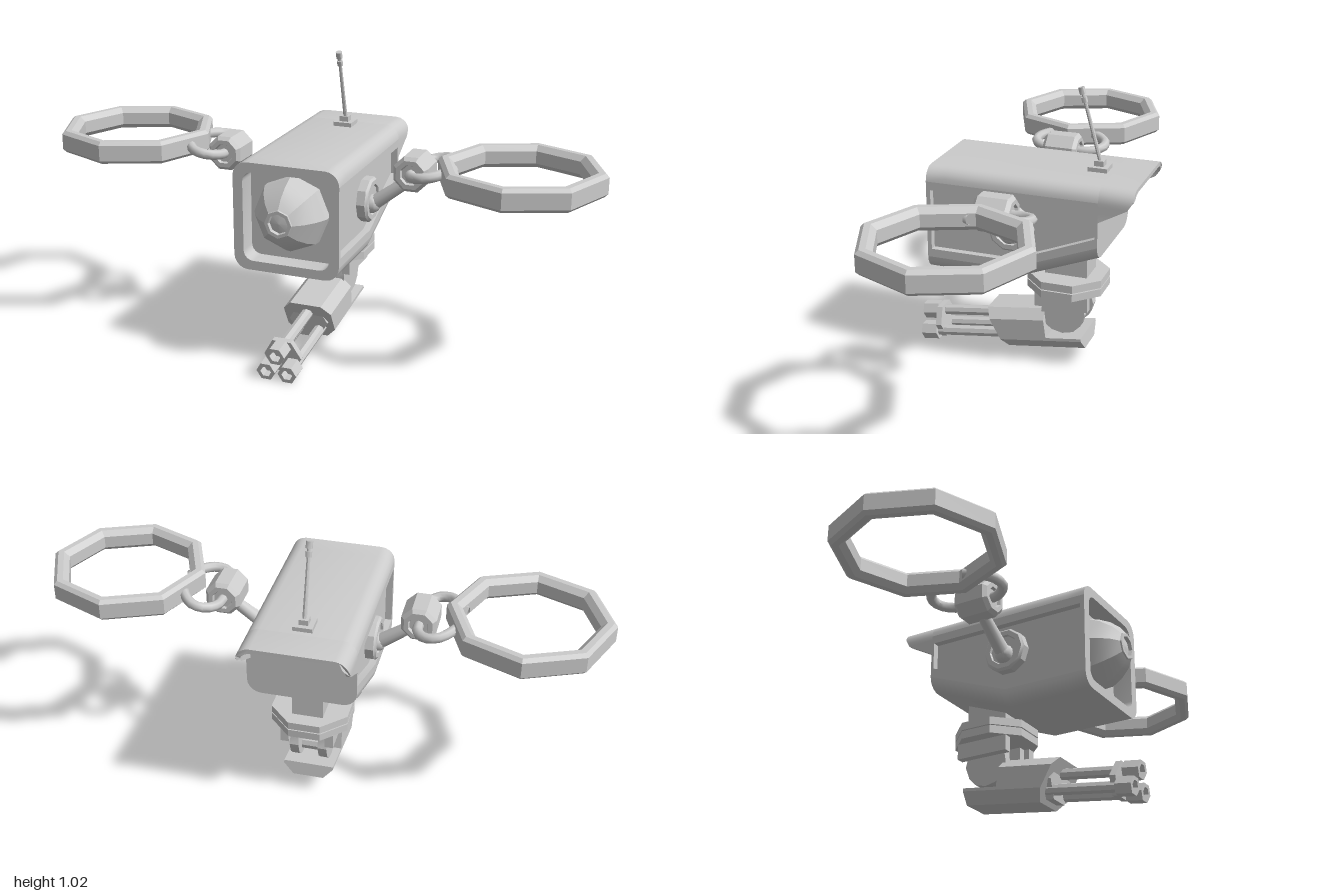
import * as THREE from 'three';
import { toCreasedNormals } from 'three/addons/utils/BufferGeometryUtils.js';

const material = new THREE.MeshStandardMaterial({ color: 0xcccccc, side: THREE.DoubleSide });
const V = (x, y, z) => new THREE.Vector3(x, y, z);
const V2 = (x, y) => new THREE.Vector2(x, y);

function add(parent, name, geometry, x = 0, y = 0, z = 0, crease = 0.5) {
  const mesh = new THREE.Mesh(toCreasedNormals(geometry, crease), material);
  mesh.name = name;
  mesh.position.set(x, y, z);
  parent.add(mesh);
  return mesh;
}

const box = (w, h, d) => new THREE.BoxGeometry(w, h, d);
const lathe = (pts, sides, phase = 0) =>
  new THREE.LatheGeometry(pts.map(p => V2(...p)), sides, phase);
// cylinder whose axis runs along z
const rod = (r, length, sides, phase = 0) =>
  new THREE.CylinderGeometry(r, r, length, sides, 1, false, phase).rotateX(Math.PI / 2);

// cylinder between two points
function strut(parent, name, a, b, r1, r2, sides) {
  const d = b.clone().sub(a);
  const mesh = add(parent, name, new THREE.CylinderGeometry(r2, r1, d.length(), sides), 0, 0, 0, 0.9);
  mesh.position.copy(a).addScaledVector(d, 0.5);
  mesh.quaternion.setFromUnitVectors(V(0, 1, 0), d.normalize());
}

// skin over matching closed sections (counter-clockwise, ordered from +z to -z)
function loft(sections) {
  const n = sections[0].length, index = [];
  for (let s = 0; s < sections.length - 1; s++)
    for (let j = 0; j < n; j++) {
      const k = (j + 1) % n, a = s * n + j, b = s * n + k;
      index.push(a, a + n, b, b, a + n, b + n);
    }
  const last = (sections.length - 1) * n;
  for (const [a, b, c] of THREE.ShapeUtils.triangulateShape(sections[0].map(p => V2(p.x, p.y)), []))
    index.push(a, b, c, last + c, last + b, last + a);
  const g = new THREE.BufferGeometry().setFromPoints(sections.flat());
  g.setIndex(index);
  return g;
}

// shape drawn in (z, y), extruded along x
function sidePlate(outline, thickness, hole) {
  const pts = list => list.map(([z, y]) => V2(-z, y));
  const shape = new THREE.Shape(pts(outline));
  if (hole) shape.holes.push(new THREE.Path(pts(hole)));
  return new THREE.ExtrudeGeometry(shape, { depth: thickness, bevelEnabled: false }).rotateY(Math.PI / 2);
}

const arc = (cx, cy, r, start) => Array.from({ length: 6 }, (_, i) => {
  const a = start + i * Math.PI / 10;
  return V2(cx + r * Math.cos(a), cy + r * Math.sin(a));
});
const roundRect = (w, y0, y1, r) => [
  ...arc(w - r, y1 - r, r, 0), ...arc(r - w, y1 - r, r, Math.PI / 2),
  ...arc(r - w, y0 + r, r, Math.PI), ...arc(w - r, y0 + r, r, Math.PI * 1.5)];

// housing section with a shallow channel along each side
const W = 0.19, IN = 0.165, TOP = 0.74, R = 0.05;
function housingSection(bottom) {
  const p = roundRect(W, bottom, TOP, R), lo = bottom + R, hi = TOP - R;
  return [...p.slice(0, 12), V2(-IN, hi), V2(-IN, lo), ...p.slice(12), V2(IN, lo), V2(IN, hi)];
}

function buildHousing(root) {
  const g = new THREE.Group();
  g.name = 'housing';
  root.add(g);
  add(g, 'housingCore', loft([[0.25, 0.36], [0.01, 0.36], [-0.3, 0.48]].map(
    ([z, b]) => housingSection(b).map(p => V(p.x, p.y, z)))));

  // open front rim
  const rim = new THREE.Shape(housingSection(0.36));
  rim.holes.push(new THREE.Path(roundRect(0.155, 0.393, 0.707, 0.035)));
  add(g, 'frontRim', new THREE.ExtrudeGeometry(rim, { depth: 0.07, bevelEnabled: false }), 0, 0, 0.25);

  // side frames around the sunken panels
  const outline = [[0.32, 0.41], [0.01, 0.41], [-0.3, 0.53], [-0.3, 0.69], [0.32, 0.69]];
  const panel = [[0.305, 0.44], [0.01, 0.44], [-0.29, 0.56], [-0.29, 0.66], [0.305, 0.66]];
  for (const x of [IN, -W]) add(g, 'sideFrame', sidePlate(outline, W - IN, panel), x);

  // rear hood: thin arch whose edge sweeps back as it rises
  const half = [V2(W, 0.62), V2(W, 0.655), V2(W, 0.675), ...arc(W - R, TOP - R, R, 0)];
  const outer = [...half, ...half.map(p => V2(-p.x, p.y)).reverse()];
  const reach = y => y < 0.675 ? -0.3 - (y - 0.62) * 1.82 : Math.max(-0.42, -0.4 - (y - 0.675) * 0.57);
  const inner = outer.map(p => V2(p.x * 0.92, p.y > 0.69 ? 0.69 + (p.y - 0.69) * 0.7 : p.y));
  const ring = end => [...outer.map(p => V(p.x, p.y, end ? reach(p.y) : -0.299)),
    ...inner.map((p, i) => V(p.x, p.y, end ? reach(outer[i].y) : -0.299)).reverse()];
  add(g, 'rearHood', loft([ring(false), ring(true)]));

  // faceted eye dome with lens
  const dome = [[0.132, 0], [0.13, 0.03], [0.11, 0.07], [0.08, 0.108], [0.05, 0.13], [0.048, 0.135],
    [0.036, 0.135], [0.034, 0.122], [0, 0.128]];
  add(g, 'eyeDome', lathe(dome, 8).rotateX(Math.PI / 2), 0, 0.56, 0.25, 0.3);

  // antenna
  add(g, 'antennaBase', box(0.068, 0.016, 0.068), 0, 0.747, -0.248);
  add(g, 'antennaSocket', box(0.032, 0.022, 0.034), 0, 0.763, -0.248);
  strut(g, 'antennaRod', V(0, 0.765, -0.25), V(0, 1.02, -0.178), 0.008, 0.006, 8);
  strut(g, 'antennaCollar', V(0, 0.972, -0.191), V(0, 0.99, -0.186), 0.011, 0.011, 8);
  strut(g, 'antennaTip', V(0, 1.0, -0.183), V(0, 1.023, -0.176), 0.012, 0.012, 8);
}

function buildRotor(root, side) {
  const g = new THREE.Group();
  g.name = side > 0 ? 'leftRotor' : 'rightRotor';
  root.add(g);
  const X = x => side * x;
  // shoulder mount and arm
  const mount = lathe([[0, 0], [0.08, 0], [0.08, 0.03], [0.072, 0.038], [0.055, 0.038], [0.052, 0.03],
    [0, 0.03]], 10).rotateZ(-side * Math.PI / 2);
  add(g, 'shoulderMount', mount, X(0.165), 0.555, 0.01);
  add(g, 'shoulderJoint', new THREE.SphereGeometry(0.034, 12, 8), X(0.195), 0.54, 0.01);
  strut(g, 'arm', V(X(0.19), 0.533, 0.01), V(X(0.325), 0.635, 0.003), 0.027, 0.021, 10);

  // eight-sided elbow hub
  const hub = lathe([[0, -0.055], [0.033, -0.055], [0.037, -0.065], [0.053, -0.065], [0.066, -0.052],
    [0.066, 0.052], [0.053, 0.065], [0.037, 0.065], [0.033, 0.055], [0, 0.055]], 8, Math.PI / 8);
  add(g, 'elbowHub', hub.rotateX(Math.PI / 2), X(0.347), 0.675, 0, 0.3);

  // curved fork holding the duct
  for (const s of [1, -1]) {
    const path = [[0.347, 0.675, 0.04], [0.352, 0.677, 0.09], [0.385, 0.685, 0.13], [0.43, 0.692, 0.128],
      [0.468, 0.699, 0.09], [0.492, 0.702, 0.04]];
    const curve = new THREE.CatmullRomCurve3(path.map(([x, y, z]) => V(X(x), y, s * z - 0.01)));
    add(g, 'fork', new THREE.TubeGeometry(curve, 12, 0.018, 8), 0, 0, 0, 0.9);
  }

  // octagonal duct ring
  const duct = [[0.272, -0.04], [0.285, -0.028], [0.285, 0.028], [0.272, 0.04], [0.25, 0.04],
    [0.23, 0.022], [0.23, -0.022], [0.25, -0.04], [0.272, -0.04]];
  add(g, 'ductRing', lathe(duct, 8), X(0.715), 0.7, 0.012, 0.3);
}

function buildGun(root) {
  const turret = new THREE.Group();
  turret.name = 'turret';
  root.add(turret);
  // neck and turntable
  add(turret, 'neck', box(0.11, 0.14, 0.155), 0, 0.4, -0.147);
  const disc = (r, h) => new THREE.CylinderGeometry(r, r, h, 8, 1, false, Math.PI / 8);
  add(turret, 'turntableTop', disc(0.148, 0.028), 0, 0.336, -0.14);
  add(turret, 'turntableGroove', disc(0.14, 0.01), 0, 0.32, -0.14);
  add(turret, 'turntableBottom', disc(0.148, 0.028), 0, 0.304, -0.14);

  // yoke arms with rounded feet
  const arm = [[-0.065, 0.295], [-0.065, 0.235], [-0.06, 0.205], [-0.07, 0.16], [-0.1, 0.137], [-0.14, 0.128],
    [-0.18, 0.138], [-0.207, 0.165], [-0.223, 0.21], [-0.216, 0.235], [-0.216, 0.295]];
  for (const s of [1, -1]) {
    add(turret, 'yokeArm', sidePlate(arm, 0.032), s > 0 ? 0.035 : -0.067);
    add(turret, 'yokePad', box(0.03, 0.056, 0.195), s * 0.08, 0.263, -0.142);
  }
  add(turret, 'pivotPin', new THREE.CylinderGeometry(0.03, 0.03, 0.08, 10).rotateZ(Math.PI / 2), 0, 0.175, -0.145);

  // gun tipped slightly downwards
  const gun = new THREE.Group();
  gun.name = 'gun';
  gun.position.set(0, 0.13, -0.14);
  gun.rotation.x = 0.136;
  turret.add(gun);
  const half = [V2(0.055, -0.065), V2(0.09, -0.025), V2(0.09, 0.055), V2(0.058, 0.089)];
  const section = [...half, ...half.map(p => V2(-p.x, p.y)).reverse()];
  // the nose is raked so the roof overhangs the barrels
  add(gun, 'gunCasing', loft([section.map(p => V(p.x, p.y, 0.245 + p.y * 0.39)),
    section.map(p => V(p.x, p.y, 0.058))]), 0, 0, 0, 0.2);
  const low = [V2(0.055, -0.065), V2(0.09, -0.025), V2(0.09, -0.014)];
  const tray = [...low, ...low.map(p => V2(-p.x, p.y)).reverse()];
  add(gun, 'gunTray', loft([0.06, -0.075].map(z => tray.map(p => V(p.x, p.y, z)))), 0, 0, 0, 0.2);

  // three barrels held by two clamps
  const axis = 0.012;
  add(gun, 'rearClamp', rod(0.072, 0.03, 6, Math.PI / 6), 0, axis, 0.245);
  add(gun, 'frontClamp', rod(0.068, 0.022, 6, Math.PI / 6), 0, axis, 0.488);
  for (const [x, y] of [[0, 0.035], [0.039, -0.031], [-0.039, -0.031]]) {
    add(gun, 'barrel', rod(0.02, 0.33, 8), x, axis + y, 0.36);
    const muzzle = lathe([[0.018, -0.03], [0.034, -0.03], [0.034, 0.03], [0.02, 0.03], [0.018, 0],
      [0, 0]], 6, Math.PI / 6);
    add(gun, 'muzzle', muzzle.rotateX(Math.PI / 2), x, axis + y, 0.53);
  }
}

export function createModel() {
  const root = new THREE.Group();
  root.name = 'drone';
  buildHousing(root);
  for (const side of [1, -1]) buildRotor(root, side);
  buildGun(root);
  return root;
}
